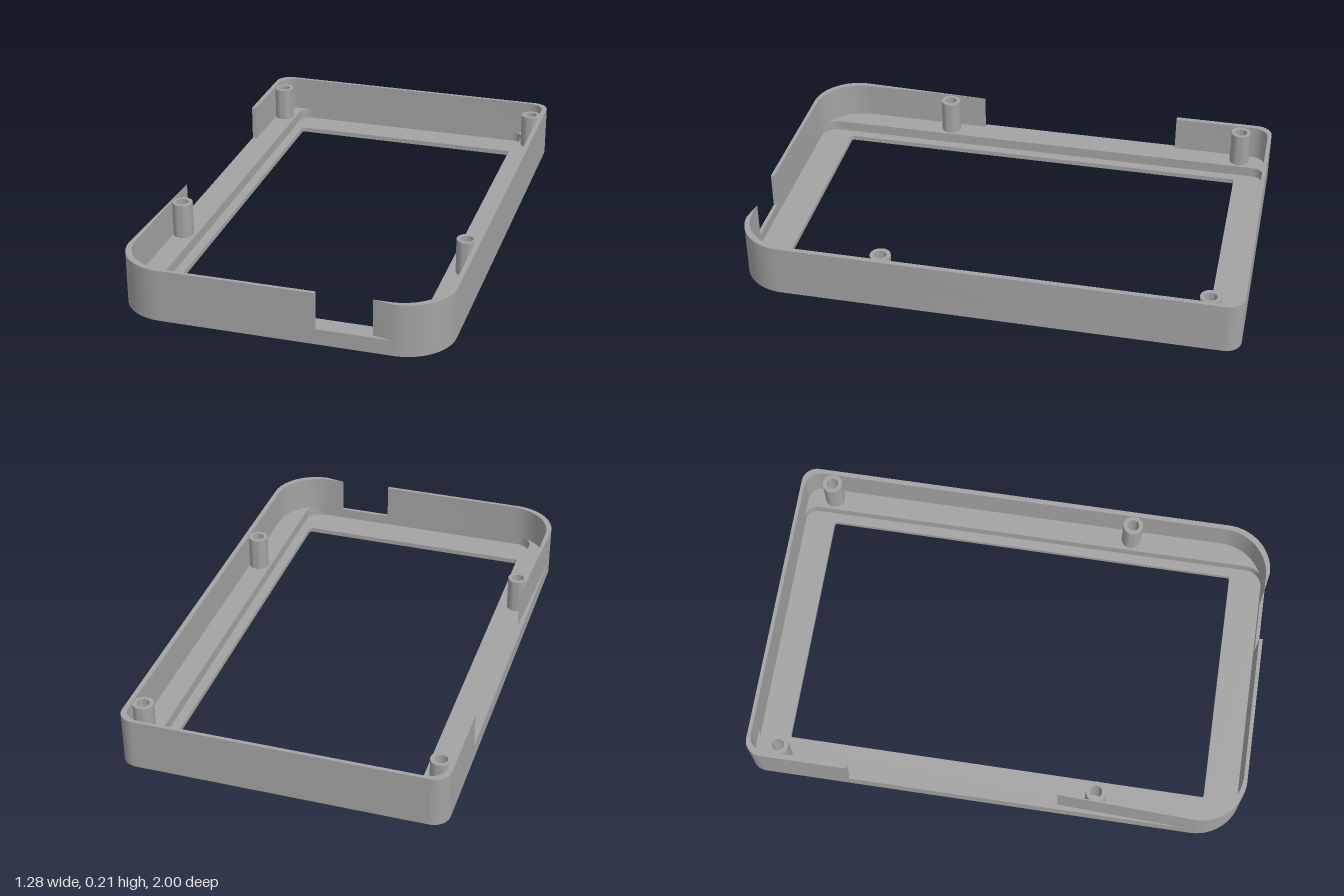
import * as THREE from 'three';
import { toCreasedNormals } from 'three/addons/utils/BufferGeometryUtils.js';

const LEDGE = 0.02, FLOOR = 0.063, TOP = 0.21;
const HX = 0.64, HZ = 1, IX = 0.62, IZ = 0.985; // outer and inner half sizes
const RF = 0.19, RB = 0.065; // front and back corner radii
const FRONT_CUT = [0.155, 0.37], SIDE_CUT = [-0.585, 0.265];

// Rounded rectangle, drawn with shape y = -z
function roundRect(path, x, front, back, rf, rb) {
  path.moveTo(0, -front);
  path.lineTo(x - rf, -front);
  path.absarc(x - rf, -front + rf, rf, -Math.PI / 2, 0, false);
  path.lineTo(x, -back - rb);
  path.absarc(x - rb, -back - rb, rb, 0, Math.PI / 2, false);
  path.lineTo(-x + rb, -back);
  path.absarc(-x + rb, -back - rb, rb, Math.PI / 2, Math.PI, false);
  path.lineTo(-x, -front + rf);
  path.absarc(-x + rf, -front + rf, rf, Math.PI, Math.PI * 1.5, false);
  path.closePath();
  return path;
}

// Raise a flat outline from y0 to y1
function slab(shape, y0, y1) {
  const geo = new THREE.ExtrudeGeometry(shape, { depth: y1 - y0, bevelEnabled: false, curveSegments: 16 });
  geo.rotateX(-Math.PI / 2);
  geo.translate(0, y0, 0);
  return toCreasedNormals(geo, 0.5);
}

// Wall from the front cutout round the +x side and back to the side cutout
function longWall() {
  const s = new THREE.Shape();
  const [, a] = FRONT_CUT, [b] = SIDE_CUT;
  s.moveTo(a, -HZ);
  s.absarc(HX - RF, -HZ + RF, RF, -Math.PI / 2, 0, false);
  s.absarc(HX - RB, HZ - RB, RB, 0, Math.PI / 2, false);
  s.absarc(-HX + RB, HZ - RB, RB, Math.PI / 2, Math.PI, false);
  s.lineTo(-HX, -b);
  s.lineTo(-IX, -b);
  s.absarc(-IX + RB, IZ - RB, RB, Math.PI, Math.PI / 2, true);
  s.absarc(IX - RB, IZ - RB, RB, Math.PI / 2, 0, true);
  s.absarc(IX - RF, -IZ + RF, RF, 0, -Math.PI / 2, true);
  s.lineTo(a, -IZ);
  s.closePath();
  return s;
}

// Wall round the front corner between the two cutouts
function cornerWall() {
  const s = new THREE.Shape();
  const [a] = FRONT_CUT, [, b] = SIDE_CUT;
  s.moveTo(-HX, -b);
  s.absarc(-HX + RF, -HZ + RF, RF, Math.PI, Math.PI * 1.5, false);
  s.lineTo(a, -HZ);
  s.lineTo(a, -IZ);
  s.absarc(-IX + RF, -IZ + RF, RF, Math.PI * 1.5, Math.PI, true);
  s.lineTo(-IX, -b);
  s.closePath();
  return s;
}

export function createModel() {
  const model = new THREE.Group();
  model.name = 'displayCase';
  const grey = new THREE.MeshStandardMaterial({ color: 0xa3a3a3 });
  grey.name = 'grey plastic';
  const add = (name, geo) => {
    const mesh = new THREE.Mesh(geo, grey);
    mesh.name = name;
    model.add(mesh);
    return mesh;
  };

  // Thin face plate with the window
  const face = roundRect(new THREE.Shape(), HX, HZ, -HZ, RF, RB);
  face.holes.push(roundRect(new THREE.Path(), 0.49, 0.85, -0.86, 0.01, 0.01));
  add('facePlate', slab(face, 0, LEDGE));

  // Thicker floor around the recess
  const floor = roundRect(new THREE.Shape(), HX, HZ, -HZ, RF, RB);
  floor.holes.push(roundRect(new THREE.Path(), 0.53, IZ, -IZ, 0.07, 0.05));
  add('recessedFloor', slab(floor, LEDGE, FLOOR));

  // Walls with the two open cutouts
  add('longWall', slab(longWall(), FLOOR, TOP));
  add('cornerWall', slab(cornerWall(), FLOOR, TOP));

  // Hollow screw posts
  const profile = [[0.041, FLOOR], [0.041, 0.205], [0.024, 0.205], [0.024, FLOOR + 0.002], [0, FLOOR + 0.002]]
    .map(([r, y]) => new THREE.Vector2(r, y));
  const post = toCreasedNormals(new THREE.LatheGeometry(profile, 32), 0.5);
  for (const x of [-0.582, 0.582]) {
    for (const z of [-0.87, 0.413]) add('screwPost', post).position.set(x, 0, z);
  }
  return model;
}
